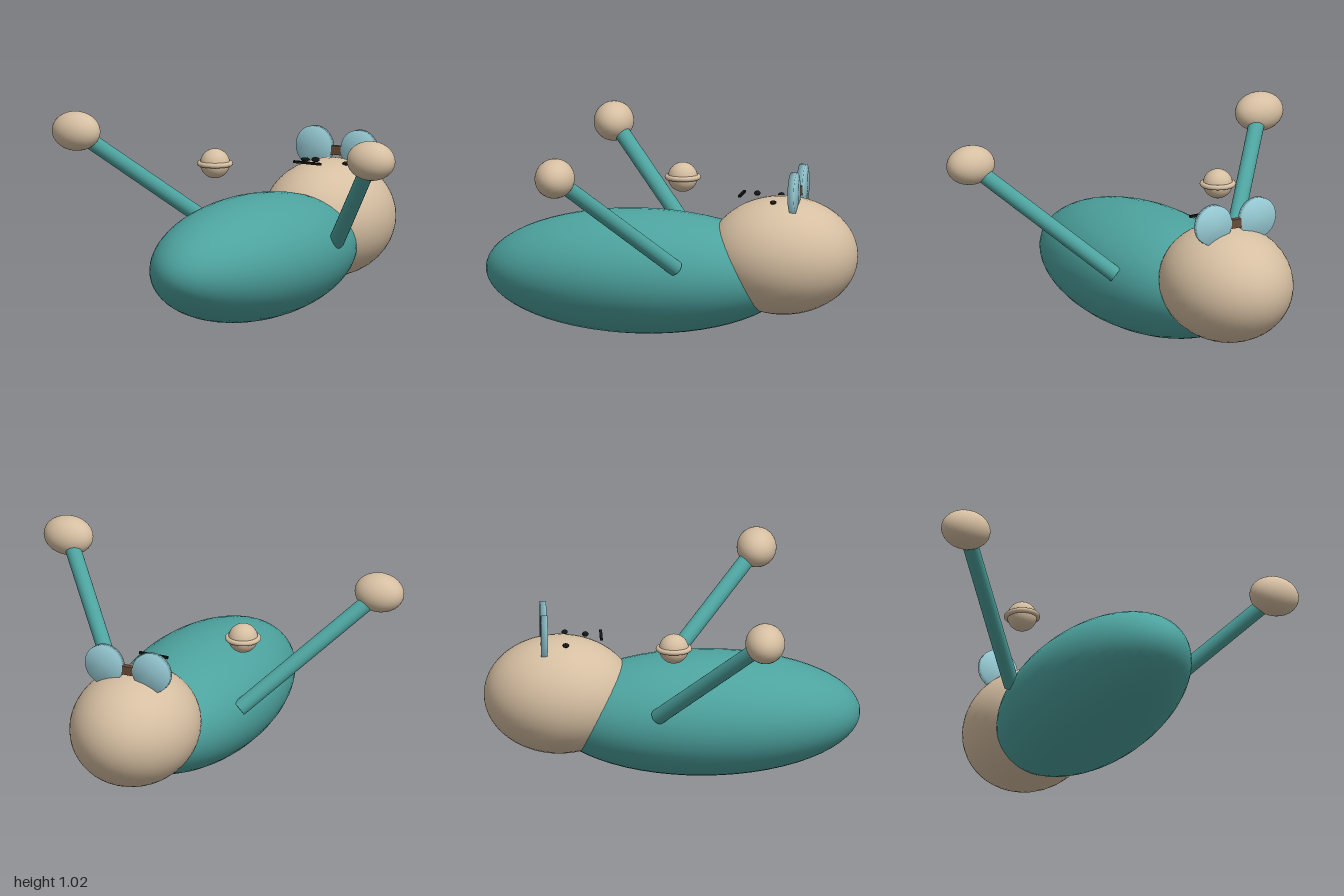
import * as THREE from 'three';
import { mergeVertices } from 'three/addons/utils/BufferGeometryUtils.js';

function material(name, color) {
  const m = new THREE.MeshStandardMaterial({ color });
  m.name = name;
  return m;
}

export function createModel() {
  const model = new THREE.Group();
  model.name = 'recliningFigure';
  const teal = material('teal cloth', 0x4da39f);
  const skin = material('tan skin', 0xd6bfa2);
  const blue = material('pale blue', 0x9bd0da);
  const brown = material('brown', 0x6b4a38);
  const black = material('black', 0x141414);

  function add(name, geometry, mat, x, y, z) {
    const mesh = new THREE.Mesh(geometry, mat);
    mesh.name = name;
    mesh.position.set(x, y, z);
    model.add(mesh);
    return mesh;
  }

  // Ellipsoid with its poles along z
  function ellipsoid(name, mat, [x, y, z], [rx, ry, rz], segments = 32) {
    const g = new THREE.SphereGeometry(1, segments, segments * 0.75);
    g.rotateX(Math.PI / 2).scale(rx, ry, rz);
    return add(name, g, mat, x, y, z);
  }

  // Flat disc facing z, its normals softened over the rim
  function softDisc(radius, depth) {
    const g = new THREE.CylinderGeometry(radius, radius, depth, 32);
    g.rotateX(Math.PI / 2);
    g.deleteAttribute('normal');
    g.deleteAttribute('uv');
    const soft = mergeVertices(g);
    soft.computeVertexNormals();
    return soft;
  }

  // Body and head
  ellipsoid('body', teal, [0, 0.315, 0.16], [0.38, 0.315, 0.785], 40);
  ellipsoid('head', skin, [0, 0.416, -0.567], [0.32, 0.3, 0.38], 40);

  for (const s of [-1, 1]) {
    const side = s > 0 ? 'left' : 'right';

    // Arm from shoulder to hand
    const shoulder = new THREE.Vector3(s * 0.342, 0.39, -0.08);
    const wrist = new THREE.Vector3(s * 0.87, 0.922, 0.446);
    const along = wrist.clone().sub(shoulder);
    const mid = shoulder.clone().add(wrist).multiplyScalar(0.5);
    const arm = add(side + 'Arm', new THREE.CylinderGeometry(0.04, 0.04, along.length(), 24),
      teal, mid.x, mid.y, mid.z);
    arm.quaternion.setFromUnitVectors(new THREE.Vector3(0, 1, 0), along.normalize());
    ellipsoid(side + 'Hand', skin, [s * 0.87, 0.923, 0.446], [0.13, 0.1, 0.1]);

    // Eye and bow loop
    ellipsoid(side + 'Eye', black, [s * 0.122, 0.703, -0.538], [0.026, 0.01, 0.016], 16);
    add(side + 'BowLoop', softDisc(0.104, 0.032), blue, s * 0.132, 0.755, -0.647);
  }

  // Bow knot, nose and mouth
  add('bowKnot', new THREE.BoxGeometry(0.07, 0.045, 0.03), brown, 0, 0.745, -0.647);
  ellipsoid('nose', black, [0, 0.727, -0.437], [0.022, 0.013, 0.016], 16);
  add('mouth', new THREE.BoxGeometry(0.16, 0.012, 0.014), black, 0, 0.721, -0.358);

  // Floating ball with a ring
  add('ringedBall', new THREE.SphereGeometry(0.075, 32, 24), skin, -0.325, 0.742, 0);
  const ring = add('ballRing', new THREE.TorusGeometry(0.078, 0.013, 12, 48), skin, -0.325, 0.742, 0);
  ring.rotation.x = Math.PI / 2;

  return model;
}
